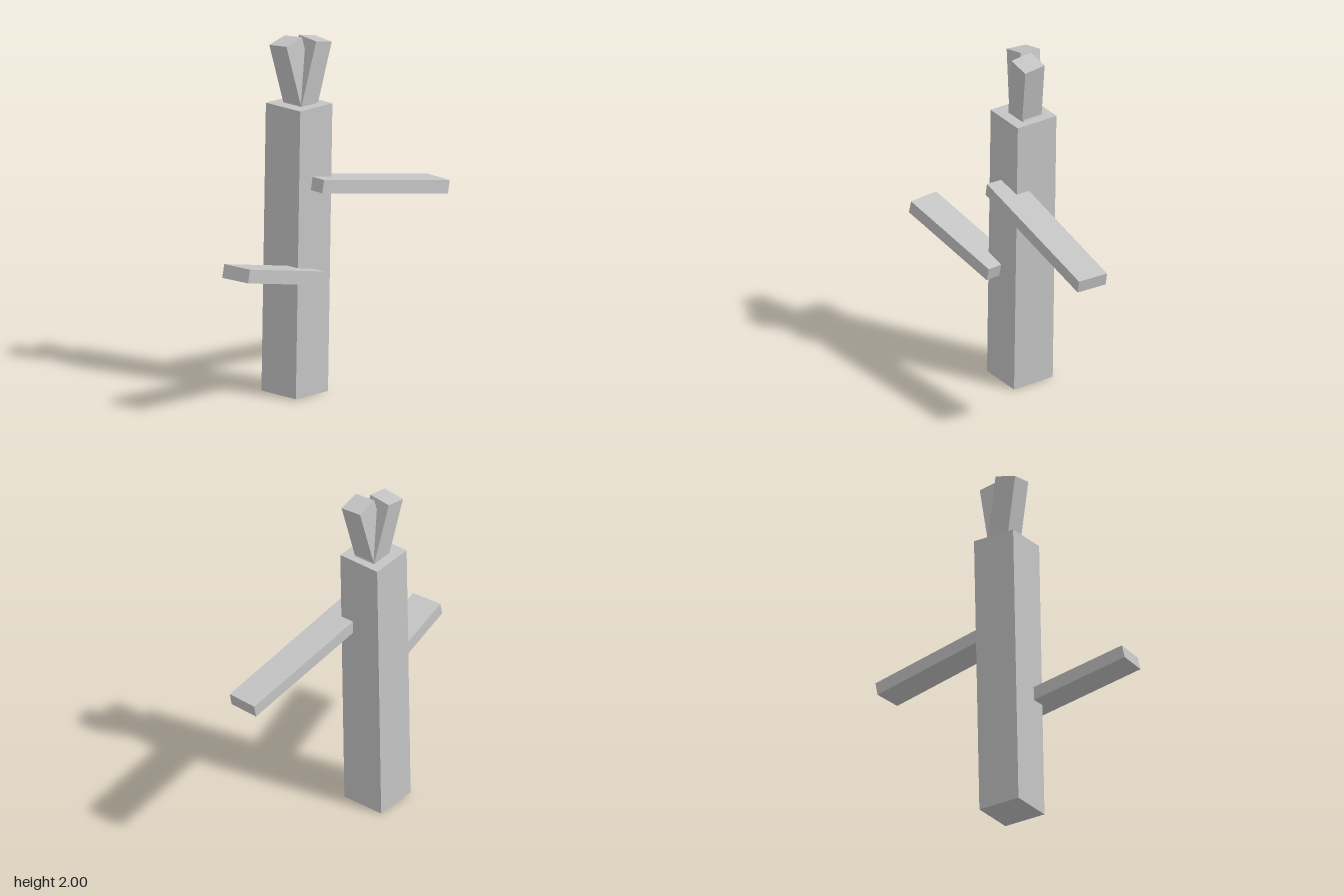
import * as THREE from 'three';

export function createModel() {
  const group = new THREE.Group();
  const grey = new THREE.MeshStandardMaterial({ color: 0xc4c4c4 });
  grey.name = 'light grey';

  // A plain box placed by its centre; yaw is applied after pitch.
  function beam(name, size, position, yaw, pitch) {
    const mesh = new THREE.Mesh(new THREE.BoxGeometry(...size), grey);
    mesh.name = name;
    mesh.position.set(...position);
    mesh.rotation.set(0, yaw, pitch, 'YZX');
    group.add(mesh);
  }

  // Slightly leaning post
  beam('trunk', [0.255, 1.622, 0.258], [-0.123, 0.816, -0.07], 0, -0.0216);

  // Flat side boards set into the front of the post
  beam('leftBranch', [0.96, 0.074, 0.18], [0.328, 1.113, 0.086], -0.056, -0.191);
  beam('rightBranch', [0.675, 0.076, 0.18], [-0.471, 0.76, 0.085], 0.084, -0.232);

  // Two short crown pieces, splaying from one base; each is placed by its top centre
  function crown(name, top, tiltX, tiltZ) {
    const length = 0.42;
    const geometry = new THREE.BoxGeometry(0.129, length, 0.13).translate(0, -length / 2, 0);
    const mesh = new THREE.Mesh(geometry, grey);
    mesh.name = name;
    mesh.position.set(...top);
    mesh.rotation.set(tiltX, 0, tiltZ);
    group.add(mesh);
  }
  crown('frontCrown', [-0.014, 1.982, -0.035], 0.097, -0.217);
  crown('backCrown', [-0.168, 1.982, -0.112], -0.105, 0.217);

  return group;
}
